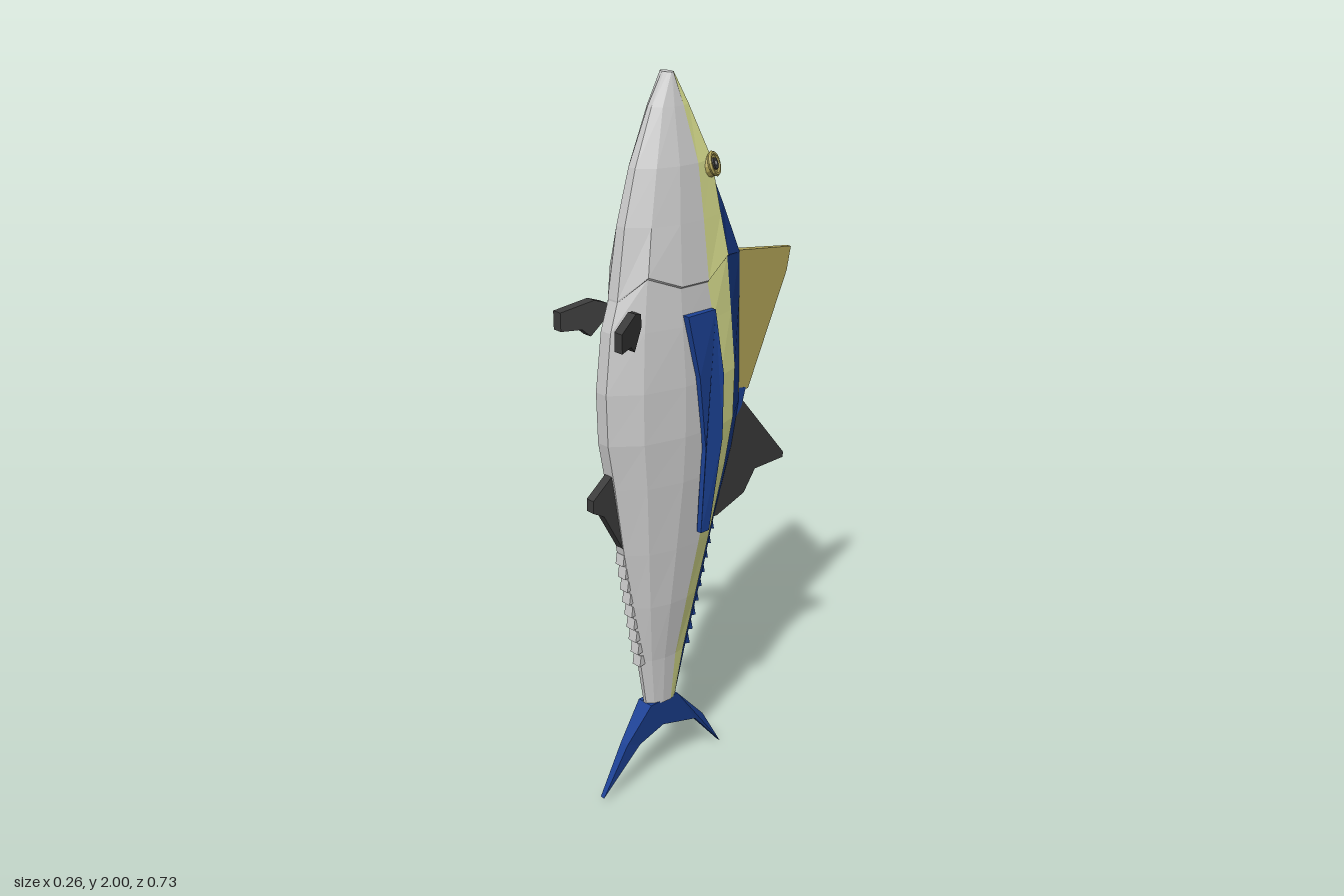
import * as THREE from 'three';

const mat = (color) => new THREE.MeshStandardMaterial({ color, flatShading: true });
const GREY = mat(0xcccccc), BLUE = mat(0x1c4296), YELLOW = mat(0xe8ee98);
const DARK = mat(0x3c3c3c), OLIVE = mat(0xb5a75a);

// Cross-sections: y, back z, blue/yellow z, yellow/grey z, belly z, half width, gill edge flag
const RINGS = [
  [2.0, 0.075, 0.08, 0.085, 0.1, 0.022],
  [1.92, 0.03, 0.045, 0.07, 0.145, 0.042],
  [1.78, -0.035, -0.01, 0.05, 0.205, 0.073],
  [1.64, -0.1, -0.03, 0.047, 0.245, 0.09],
  [1.5, -0.16, -0.045, 0.045, 0.275, 0.107, 1],
  [1.495, -0.16, -0.045, 0.045, 0.275, 0.102, 1],
  [1.38, -0.16, -0.055, 0.03, 0.3, 0.109],
  [1.22, -0.16, -0.065, 0.01, 0.32, 0.116],
  [1.08, -0.162, -0.06, 0.014, 0.317, 0.115],
  [0.95, -0.135, -0.037, 0.03, 0.295, 0.107],
  [0.75, -0.07, 0.005, 0.062, 0.265, 0.088],
  [0.58, -0.025, 0.04, 0.088, 0.238, 0.069],
  [0.4, 0.03, 0.07, 0.107, 0.207, 0.042],
  [0.25, 0.085, 0.095, 0.115, 0.185, 0.03],
];
const GILL = [0, 0.03, -0.015, -0.015, 0.02, -0.04];

// Closed 12-point loop: down the left side from back to belly, then up the right
function ringPoints([y, back, upper, lower, belly, w, gill]) {
  const d = belly - lower;
  const half = [[0.12, back], [0.8, upper], [1, lower], [0.95, lower + 0.38 * d],
    [0.68, lower + 0.76 * d], [0.17, belly]];
  const left = half.map(([f, z], i) => [f * w, y + (gill ? GILL[i] : 0), z]);
  return [...left, ...left.map(([x, yy, z]) => [-x, yy, z]).reverse()];
}

// Strips of the body skin running from nose to tail
function bodyBand(name, material, columns, capped) {
  const loops = RINGS.map(ringPoints), pos = [];
  const tri = (...corners) => corners.forEach((c) => pos.push(...c));
  for (let i = 0; i < loops.length - 1; i++) {
    for (const k of columns) {
      const n = (k + 1) % 12, a = loops[i], b = loops[i + 1];
      tri(a[k], a[n], b[n]);
      tri(a[k], b[n], b[k]);
    }
  }
  if (capped) {
    const top = loops[0], end = loops[loops.length - 1];
    for (let k = 1; k < 11; k++) {
      tri(top[0], top[k + 1], top[k]);
      tri(end[0], end[k], end[k + 1]);
    }
  }
  const geo = new THREE.BufferGeometry();
  geo.setAttribute('position', new THREE.Float32BufferAttribute(pos, 3));
  geo.computeVertexNormals();
  const mesh = new THREE.Mesh(geo, material);
  mesh.name = name;
  return mesh;
}

// Flat fin from a (z, y) outline; thickness and sideways position vary over it
function fin(name, material, outline, thick, mid = () => 0) {
  const shape = new THREE.Shape(outline.map(([z, y]) => new THREE.Vector2(z, y)));
  const geo = new THREE.ExtrudeGeometry(shape, { depth: 1, bevelEnabled: false });
  const p = geo.attributes.position;
  for (let i = 0; i < p.count; i++) {
    const z = p.getX(i), y = p.getY(i), d = p.getZ(i);
    p.setXYZ(i, mid(z, y) - (d - 0.5) * thick(z, y), y, z);
  }
  geo.computeVertexNormals();
  const mesh = new THREE.Mesh(geo, material);
  mesh.name = name;
  return mesh;
}

function eye(side) {
  const group = new THREE.Group();
  group.name = side > 0 ? 'leftEye' : 'rightEye';
  const add = (name, geo, material, y) => {
    const mesh = new THREE.Mesh(geo, material);
    mesh.name = name;
    mesh.position.y = y;
    group.add(mesh);
    return mesh;
  };
  add('eyeDisc', new THREE.CylinderGeometry(0.027, 0.034, 0.02, 14), OLIVE, 0);
  add('eyeRim', new THREE.TorusGeometry(0.027, 0.006, 6, 14), OLIVE, 0.009).rotation.x = Math.PI / 2;
  add('pupil', new THREE.CylinderGeometry(0.015, 0.017, 0.01, 12), DARK, 0.009);
  add('pupilCentre', new THREE.CylinderGeometry(0.006, 0.007, 0.006, 8), GREY, 0.013);
  const normal = new THREE.Vector3(side * 0.85, 0.3, -0.42).normalize();
  group.quaternion.setFromUnitVectors(new THREE.Vector3(0, 1, 0), normal);
  group.position.set(side * 0.058, 1.765, -0.008);
  return group;
}

export function createModel() {
  const model = new THREE.Group();
  model.name = 'fish';
  const { lerp, mapLinear, clamp } = THREE.MathUtils;

  // Body skin in three colours
  model.add(bodyBand('backSkin', BLUE, [10, 11, 0]));
  model.add(bodyBand('sideStripes', YELLOW, [1, 9]));
  model.add(bodyBand('bellySkin', GREY, [2, 3, 4, 5, 6, 7, 8], true));

  // Fins on the centre line
  model.add(fin('firstDorsalFin', OLIVE,
    [[-0.13, 1.51], [-0.16, 1.505], [-0.365, 1.475], [-0.35, 1.41], [-0.2, 1.105], [-0.13, 1.1]],
    (z) => mapLinear(z, -0.13, -0.365, 0.028, 0.014)));
  model.add(fin('dorsalStub', BLUE, [[-0.13, 1.12], [-0.19, 1.11], [-0.175, 1.06], [-0.13, 1.0]], () => 0.026));
  model.add(fin('secondDorsalFin', DARK,
    [[-0.13, 1.08], [-0.175, 1.08], [-0.355, 0.865], [-0.352, 0.85], [-0.235, 0.85], [-0.19, 0.79],
      [-0.08, 0.755], [-0.05, 0.76]],
    (z) => mapLinear(z, -0.05, -0.355, 0.028, 0.012)));
  model.add(fin('analFin', DARK,
    [[0.27, 1.0], [0.295, 0.995], [0.365, 0.94], [0.365, 0.905], [0.33, 0.885], [0.265, 0.765], [0.25, 0.77]],
    () => 0.026));
  model.add(fin('tailFin', BLUE,
    [[0.185, 0.255], [0.265, 0.155], [0.35, 0.015], [0.215, 0.135], [0.13, 0.165], [0, 0.125],
      [-0.105, 0.0], [-0.03, 0.13], [0.085, 0.255]],
    (z, y) => mapLinear(clamp(y, 0.1, 0.255), 0.1, 0.255, 0.014, 0.052)));

  // Rows of finlets towards the tail
  for (let i = 0; i < 9; i++) {
    const y = lerp(0.73, 0.4, i / 8);
    const belly = mapLinear(y, 0.75, 0.4, 0.265, 0.207);
    const back = mapLinear(y, 0.75, 0.4, -0.07, 0.03);
    model.add(fin('bellyFinlet', GREY,
      [[belly - 0.015, y + 0.02], [belly + 0.004, y + 0.02], [belly + 0.009, y - 0.012], [belly - 0.015, y - 0.008]],
      () => 0.03));
    model.add(fin('backFinlet', BLUE,
      [[back + 0.015, y + 0.02], [back - 0.003, y + 0.02], [back - 0.01, y - 0.015], [back + 0.015, y - 0.008]],
      () => 0.018));
  }

  // Paired fins and eyes
  for (const side of [1, -1]) {
    const prefix = side > 0 ? 'left' : 'right';
    model.add(fin(prefix + 'PectoralFin', BLUE,
      [[0.13, 1.41], [0.035, 1.41], [0.01, 1.23], [0.01, 1.05], [0.05, 0.79], [0.08, 0.79], [0.07, 1.03], [0.095, 1.24]],
      (z, y) => (y > 1.3 ? 0.024 : 0.016),
      (z, y) => side * (y > 1.2 ? mapLinear(y, 1.41, 1.2, 0.11, 0.122) : mapLinear(y, 1.2, 0.79, 0.122, 0.108))));
    model.add(fin(prefix + 'PelvicFin', DARK,
      [[0.36, 1.42], [0.28, 1.445], [0.25, 1.435], [0.25, 1.4], [0.29, 1.35], [0.31, 1.37], [0.36, 1.37]],
      () => 0.028,
      (z) => side * mapLinear(z, 0.25, 0.36, 0.064, 0.117)));
    model.add(eye(side));
  }
  return model;
}
